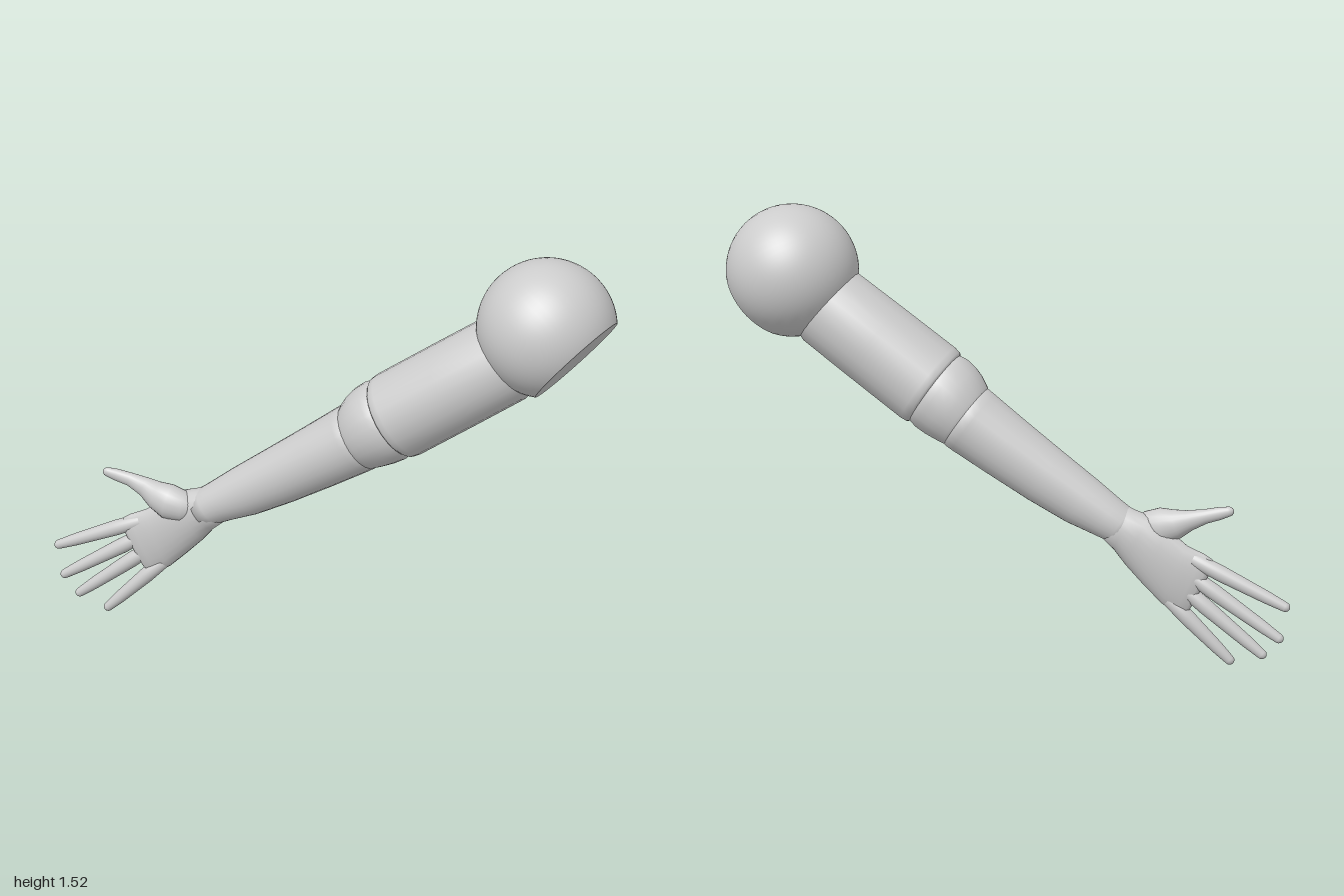
import * as THREE from 'three';

const material = new THREE.MeshStandardMaterial({ color: 0xcccccc });
const SIDES = 24;

// Closed skin over elliptical rings: { c: centre, w: half width vector, h: half depth in z }
function loft(name, rings) {
  const pos = [], index = [];
  for (const { c, w, h } of rings) {
    for (let j = 0; j < SIDES; j++) {
      const a = (j / SIDES) * Math.PI * 2;
      pos.push(c.x + w.x * Math.cos(a), c.y + w.y * Math.cos(a), c.z + h * Math.sin(a));
    }
  }
  const last = rings.length - 1;
  const start = rings.length * SIDES, end = start + 1;
  pos.push(...rings[0].c.toArray(), ...rings[last].c.toArray());
  for (let j = 0; j < SIDES; j++) {
    const k = (j + 1) % SIDES;
    for (let i = 0; i < last; i++) {
      const a = i * SIDES + j, b = i * SIDES + k;
      index.push(a, b, b + SIDES, a, b + SIDES, a + SIDES);
    }
    index.push(start, k, j, end, last * SIDES + j, last * SIDES + k);
  }
  const geo = new THREE.BufferGeometry();
  geo.setAttribute('position', new THREE.Float32BufferAttribute(pos, 3));
  geo.setIndex(index);
  geo.computeVertexNormals();
  const mesh = new THREE.Mesh(geo, material);
  mesh.name = name;
  return mesh;
}

// Limb piece along the sloping arm axis; rows are [along, offset, halfWidth, z, halfDepth]
const U = new THREE.Vector3(0.819, 0.574, 0), N = new THREE.Vector3(-0.574, 0.819, 0);
function limb(name, rows) {
  return loft(name, rows.map(([t, o, r, z, h]) => ({
    c: U.clone().multiplyScalar(t).addScaledVector(N, o).setZ(z),
    w: N.clone().multiplyScalar(r), h,
  })));
}

// Round-tipped digit; rows are [x, y, z, radius]
function digit(name, rows, flat = 1) {
  const pts = rows.map(([x, y, z]) => new THREE.Vector3(x, y, z));
  const rings = [];
  let dir;
  rows.forEach(([, , , r], i) => {
    dir = pts[Math.min(i + 1, pts.length - 1)].clone().sub(pts[Math.max(i - 1, 0)]).normalize();
    rings.push({ c: pts[i], w: new THREE.Vector3(-dir.y, dir.x, 0).multiplyScalar(r), h: r * flat });
  });
  const tip = pts[pts.length - 1], r = rows[rows.length - 1][3];
  for (const a of [0.5, 1, 1.35, 1.55]) {
    const s = r * Math.cos(a);
    rings.push({
      c: tip.clone().addScaledVector(dir, r * Math.sin(a)),
      w: new THREE.Vector3(-dir.y, dir.x, 0).multiplyScalar(s), h: s * flat,
    });
  }
  return loft(name, rings);
}

export function createModel() {
  const model = new THREE.Group();
  model.name = 'arm';

  // Shoulder ball, sliced flat where it meets the body
  const shoulder = new THREE.Group();
  shoulder.name = 'shoulder';
  const R = 0.23, cut = 0.144, angle = Math.acos(cut / R);
  const ball = new THREE.Mesh(
    new THREE.SphereGeometry(R, 48, 32, 0, Math.PI * 2, angle, Math.PI - angle), material);
  ball.name = 'shoulderBall';
  const face = new THREE.Mesh(new THREE.CircleGeometry(R * Math.sin(angle), 48), material);
  face.name = 'shoulderCutFace';
  face.rotation.x = -Math.PI / 2;
  face.position.y = cut;
  shoulder.add(ball, face);
  shoulder.quaternion.setFromUnitVectors(
    new THREE.Vector3(0, 1, 0), new THREE.Vector3(0.75, -0.62, 0.23).normalize());
  shoulder.position.set(0.775, 1.3, 0);
  model.add(shoulder);

  // Upper arm with a rounded lip at the elbow
  model.add(limb('upperArm', [
    [0.738, 0.598, 0.12, 0.005, 0.125],
    [0.739, 0.598, 0.142, 0.005, 0.143],
    [0.748, 0.598, 0.151, 0.005, 0.15],
    [0.77, 0.598, 0.154, 0.005, 0.154],
    [1.0, 0.598, 0.153, 0.005, 0.153],
    [1.2, 0.598, 0.151, 0.005, 0.15],
    [1.3, 0.6, 0.12, 0.005, 0.12],
  ]));

  // Elbow joint bulging out between the two arm pieces
  model.add(limb('elbow', [
    [0.57, 0.59, 0.105, -0.008, 0.105],
    [0.585, 0.59, 0.119, -0.008, 0.119],
    [0.605, 0.594, 0.127, -0.006, 0.128],
    [0.635, 0.598, 0.137, -0.004, 0.137],
    [0.67, 0.6, 0.145, -0.002, 0.143],
    [0.71, 0.6, 0.148, 0, 0.144],
    [0.735, 0.6, 0.143, 0, 0.14],
    [0.76, 0.6, 0.13, 0, 0.13],
  ]));

  // Forearm tapering to the wrist
  model.add(limb('forearm', [
    [-0.09, 0.625, 0.066, -0.005, 0.062],
    [-0.05, 0.625, 0.071, -0.006, 0.068],
    [0.0, 0.62, 0.077, -0.008, 0.073],
    [0.1, 0.61, 0.092, -0.009, 0.082],
    [0.25, 0.601, 0.104, -0.01, 0.093],
    [0.42, 0.595, 0.114, -0.01, 0.108],
    [0.56, 0.592, 0.122, -0.01, 0.121],
    [0.59, 0.592, 0.123, -0.01, 0.122],
    [0.62, 0.592, 0.11, -0.01, 0.11],
  ]));

  const hand = new THREE.Group();
  hand.name = 'hand';

  // Palm: rows are [upper edge x, y, lower edge x, y, z, halfDepth]
  const palm = [
    [-0.40, 0.56, -0.345, 0.43, -0.006, 0.064],
    [-0.45, 0.54, -0.385, 0.395, -0.008, 0.065],
    [-0.505, 0.525, -0.425, 0.345, -0.01, 0.06],
    [-0.57, 0.485, -0.49, 0.278, -0.013, 0.052],
    [-0.64, 0.432, -0.555, 0.215, -0.014, 0.04],
    [-0.70, 0.406, -0.602, 0.183, -0.01, 0.031],
    [-0.725, 0.39, -0.632, 0.178, -0.008, 0.026],
    [-0.735, 0.37, -0.65, 0.195, -0.007, 0.015],
  ];
  hand.add(loft('palm', palm.map(([ax, ay, bx, by, z, h]) => ({
    c: new THREE.Vector3((ax + bx) / 2, (ay + by) / 2, z),
    w: new THREE.Vector3((bx - ax) / 2, (by - ay) / 2, 0), h,
  }))));

  // Fingers: [name, base x, y, tip x, y, tip z]
  const fingers = [
    ['indexFinger', -0.66, 0.385, -0.981, 0.243, -0.008],
    ['middleFinger', -0.64, 0.335, -0.962, 0.126, -0.005],
    ['ringFinger', -0.62, 0.285, -0.905, 0.06, 0.0],
    ['littleFinger', -0.58, 0.232, -0.792, 0.023, 0.01],
  ];
  for (const [name, bx, by, tx, ty, tz] of fingers) {
    const profile = [[0, 0.026], [0.3, 0.028], [0.55, 0.025], [0.8, 0.022], [1, 0.017]];
    hand.add(digit(name, profile.map(([s, r]) => [
      bx + (tx - bx) * s, by + (ty - by) * s, -0.012 + (tz + 0.012) * s, r,
    ])));
  }

  // Thumb with its fleshy base on the palm side
  hand.add(digit('thumb', [
    [-0.44, 0.47, 0.01, 0.03],
    [-0.49, 0.475, 0.01, 0.057],
    [-0.55, 0.487, 0.008, 0.065],
    [-0.60, 0.503, 0, 0.052],
    [-0.645, 0.523, -0.012, 0.036],
    [-0.70, 0.543, -0.015, 0.025],
    [-0.75, 0.557, -0.01, 0.022],
    [-0.779, 0.565, -0.007, 0.017],
  ], 0.85));
  model.add(hand);

  return model;
}
